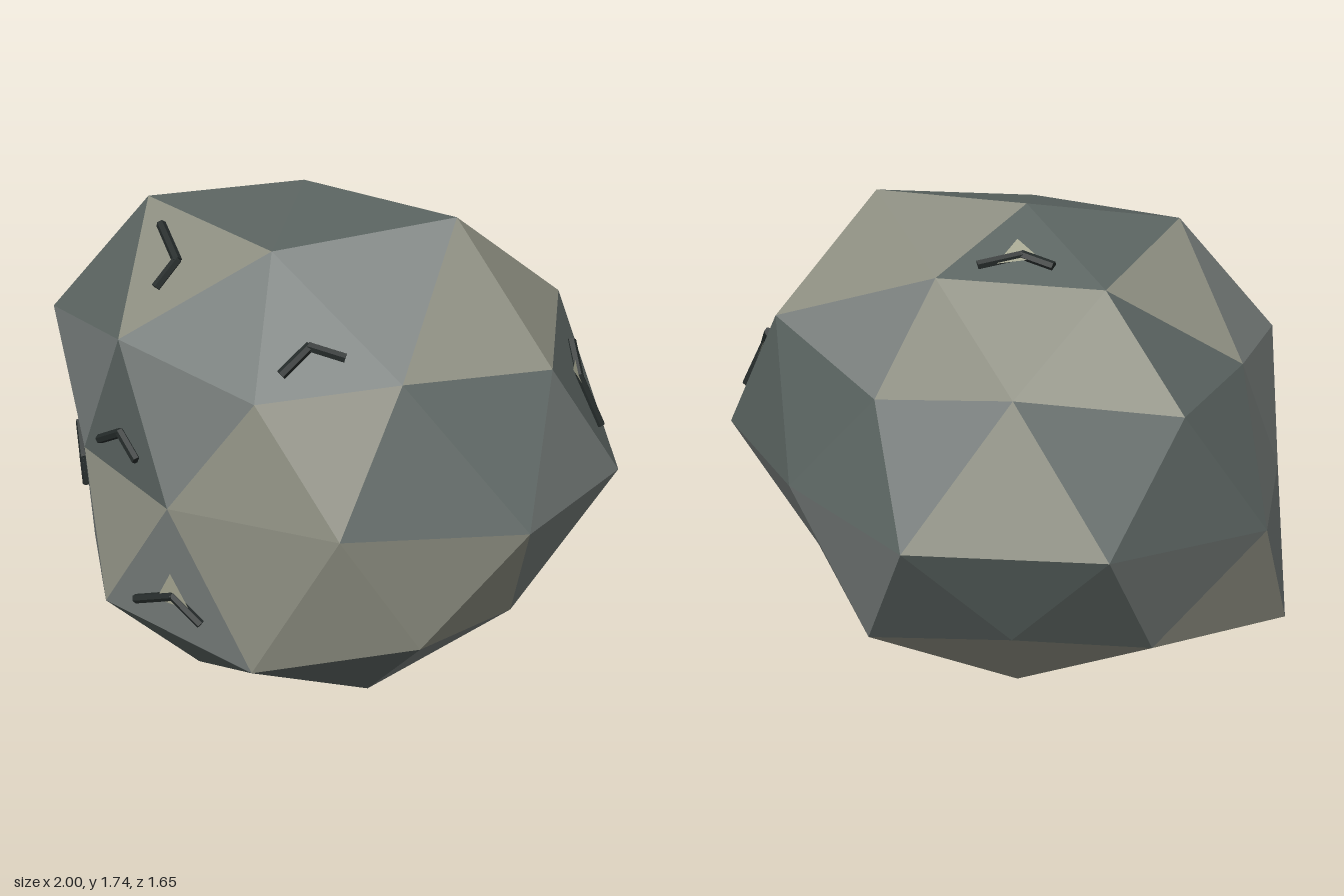
import * as THREE from 'three';

const CENTRE = new THREE.Vector3(-0.04, 0.88, 0.07);
const STRETCH = new THREE.Vector3(1, 0.92, 0.82);

// Point of a stretched sphere, pushed in or out by the factor f
const point = (r, h, deg, f) => {
  const a = THREE.MathUtils.degToRad(deg);
  return new THREE.Vector3(r * Math.cos(a), h, r * Math.sin(a)).multiply(STRETCH).multiplyScalar(f).add(CENTRE);
};
const ring = (r, h, start, factors) => factors.map((f, i) => point(r, h, start + (i * 360) / factors.length, f));

// Rings of a once-divided icosahedron, top to bottom
const TOP = point(0, 1, 0, 0.935);
const U = ring(0.5257, 0.8507, 0, [1.07, 0.978, 1.02, 0.882, 0.89]);
const I = ring(0.8944, 0.4472, 0, [1.02, 0.89, 1.0, 1.0, 0.868]);
const M = ring(0.8507, 0.5257, 36, [0.87, 0.97, 0.893, 0.907, 1.037]);
const E = ring(1, 0, 18, [1.052, 0.95, 0.915, 0.853, 0.88, 0.998, 1.005, 1.085, 0.955, 1.09]);
const N = ring(0.8507, -0.5257, 0, [0.96, 1.072, 0.945, 0.92, 1.0]);
const L = ring(0.8944, -0.4472, 36, [1.01, 1.057, 1.077, 0.91, 0.87]);
const B = ring(0.5257, -0.8507, 36, [1.0, 1.025, 0.888, 0.9, 0.89]);
const BOTTOM = point(0, -1, 0, 0.957);

// Facet kinds: corners for sector k, and the shade in each of the five sectors
const FACETS = {
  cap: [(k, n) => [TOP, U[k], U[n]], 'DDDDW'],
  crownA: [(k) => [U[k], I[k], M[k]], 'WMMWM'],
  crownB: [(k, n) => [U[k], M[k], U[n]], 'MWWWW'],
  crownC: [(k, n) => [U[n], M[k], I[n]], 'MDDWW'],
  upperA: [(k) => [I[k], E[2 * k], M[k]], 'DMMDD'],
  upperB: [(k) => [M[k], E[2 * k], E[2 * k + 1]], 'DDMWD'],
  upperC: [(k, n) => [M[k], E[2 * k + 1], I[n]], 'WMDMD'],
  upperD: [(k, n) => [I[n], E[2 * k + 1], E[2 * n]], 'WMDDM'],
  lowerA: [(k) => [E[2 * k], L[k], E[2 * k + 1]], 'WWMDM'],
  lowerB: [(k, n) => [E[2 * k + 1], L[k], N[n]], 'WMWDD'],
  lowerC: [(k, n) => [E[2 * k + 1], N[n], E[2 * n]], 'WWMMM'],
  lowerD: [(k, n) => [E[2 * n], N[n], L[n]], 'MWDMW'],
  baseA: [(k, n) => [L[k], B[k], N[n]], 'DDMWM'],
  baseB: [(k, n) => [N[n], B[k], B[n]], 'MDDWD'],
  baseC: [(k, n) => [N[n], B[n], L[n]], 'DMWDM'],
  foot: [(k, n) => [B[k], BOTTOM, B[n]], 'WDMDW'],
};

// Corners of one facet, wound to face outwards
function facet(kind, k) {
  const [a, b, c] = FACETS[kind][0](k, (k + 1) % 5);
  const normal = new THREE.Triangle(a, b, c).getNormal(new THREE.Vector3());
  return normal.dot(a.clone().sub(CENTRE)) < 0 ? [a, c, b] : [a, b, c];
}

const material = (color) => new THREE.MeshStandardMaterial({ color, flatShading: true });

function triangles(points, mat, name) {
  const geo = new THREE.BufferGeometry().setFromPoints(points);
  geo.computeVertexNormals();
  const mesh = new THREE.Mesh(geo, mat);
  mesh.name = name;
  return mesh;
}

// Bent crack at the middle of a facet; arms and chip corners are seen along an axis
function crack([a, b, c], view, arms, chip, lift, mats) {
  const group = new THREE.Group();
  group.name = 'crack';
  const normal = new THREE.Triangle(a, b, c).getNormal(new THREE.Vector3());
  const middle = a.clone().add(b).add(c).divideScalar(3).addScaledVector(normal, lift);
  const axis = new THREE.Vector3(...view);
  const onFacet = (d) => {
    const v = new THREE.Vector3(...d);
    return v.addScaledVector(axis, -normal.dot(v) / normal.dot(axis));
  };
  for (const arm of arms) {
    const dir = onFacet(arm);
    const rod = new THREE.Mesh(new THREE.CylinderGeometry(0.016, 0.016, dir.length() + 0.01, 6), mats.crack);
    rod.position.copy(middle).addScaledVector(dir, 0.5);
    rod.quaternion.setFromUnitVectors(new THREE.Vector3(0, 1, 0), dir.normalize());
    rod.name = 'crackArm';
    group.add(rod);
  }
  if (chip) {
    const corners = chip.map((d) => onFacet(d).add(middle).addScaledVector(normal, 0.004));
    group.add(triangles(corners, mats.chip, 'chip'));
  }
  return group;
}

export function createModel() {
  const model = new THREE.Group();
  model.name = 'boulder';

  // Rock facets, one mesh per shade
  const shades = { D: ['darkFacets', 0x59625f], M: ['greyFacets', 0x737977], W: ['paleFacets', 0x8b8c7f] };
  for (const [key, [name, color]] of Object.entries(shades)) {
    const points = [];
    for (const kind in FACETS)
      for (let k = 0; k < 5; k++) if (FACETS[kind][1][k] === key) points.push(...facet(kind, k));
    model.add(triangles(points, material(color), name));
  }

  // Cracks, some with a pale chip
  const mats = { crack: material(0x252b2a), chip: material(0xa3a48f) };
  mats.chip.side = THREE.DoubleSide;
  const X = [1, 0, 0], Y = [0, 1, 0], Z = [0, 0, 1];
  const cracks = [
    ['crownB', 1, Z, [[-0.134, 0.064, 0], [-0.027, -0.07, 0]]],
    ['crownC', 0, Z, [[-0.045, -0.07, 0], [0.095, -0.027, 0]]],
    ['upperB', 1, Z, [[-0.13, -0.075, 0], [0.088, -0.055, 0]]],
    ['lowerD', 0, Z, [[-0.15, -0.06, 0], [0.1, -0.07, 0]], [[-0.065, -0.03, 0], [0.065, -0.03, 0], [0, 0.085, 0]]],
    ['lowerC', 1, Z, [[-0.086, 0.08, 0], [0.01, -0.095, 0]], [[-0.05, 0.04, 0], [0.045, 0.04, 0], [0.02, -0.06, 0]]],
    ['upperC', 4, X, [[0, 0.075, -0.075], [0, -0.157, -0.02]], [[0, 0.037, 0.05], [0, 0.04, -0.055], [0, -0.07, -0.02]]],
    ['cap', 3, Y, [[-0.107, 0, -0.005], [0.112, 0, -0.08]], [[-0.06, 0, 0.005], [0.06, 0, -0.06], [0.04, 0, 0.05]]],
    ['baseB', 3, Y, [[0.09, 0, 0.03], [-0.08, 0, 0.05]], null, -0.013],
  ];
  for (const [kind, k, view, arms, chip, lift = 0.006] of cracks)
    model.add(crack(facet(kind, k), view, arms, chip, lift, mats));

  return model;
}
